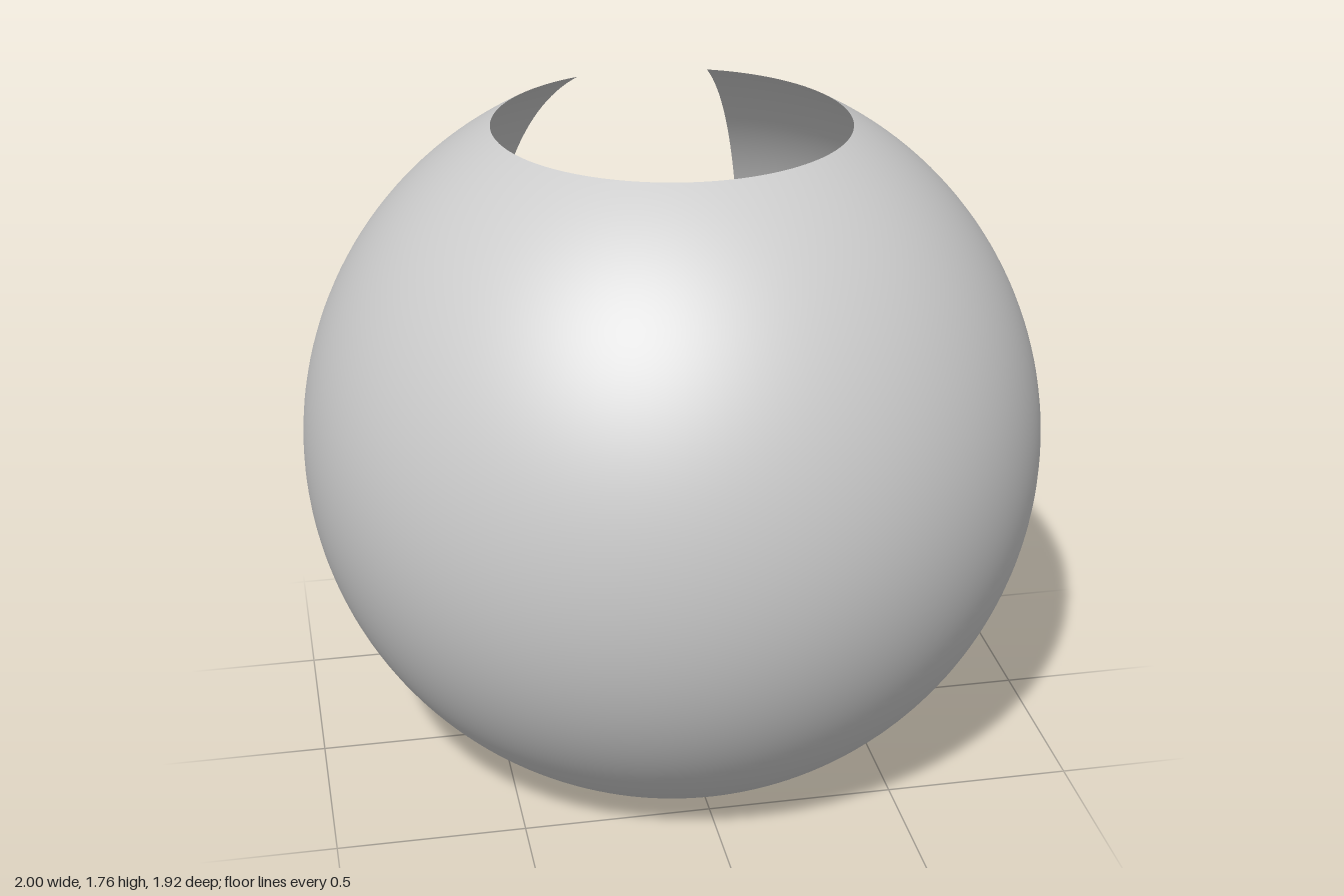
import * as THREE from 'three';

const RADIUS = 1;
const GAP = Math.PI / 4;             // angle of the slot at the back
const CAP = Math.PI * 5 / 32;        // polar angle cut off at top and bottom

export function createModel() {
  const model = new THREE.Group();
  model.name = 'openSphere';

  // Thin spherical shell, open at both poles and slotted along the back (-z)
  const geometry = new THREE.SphereGeometry(
    RADIUS, 112, 64,
    Math.PI * 1.5 + GAP / 2, Math.PI * 2 - GAP,
    CAP, Math.PI - 2 * CAP
  );
  const material = new THREE.MeshStandardMaterial({ color: 0xcccccc, side: THREE.DoubleSide });
  const shell = new THREE.Mesh(geometry, material);
  shell.name = 'shell';

  // Stand the lower rim on the ground and centre the slotted shell in depth
  shell.position.set(0, RADIUS * Math.cos(CAP), -RADIUS * (1 - Math.cos(GAP / 2)) / 2);
  model.add(shell);
  return model;
}
